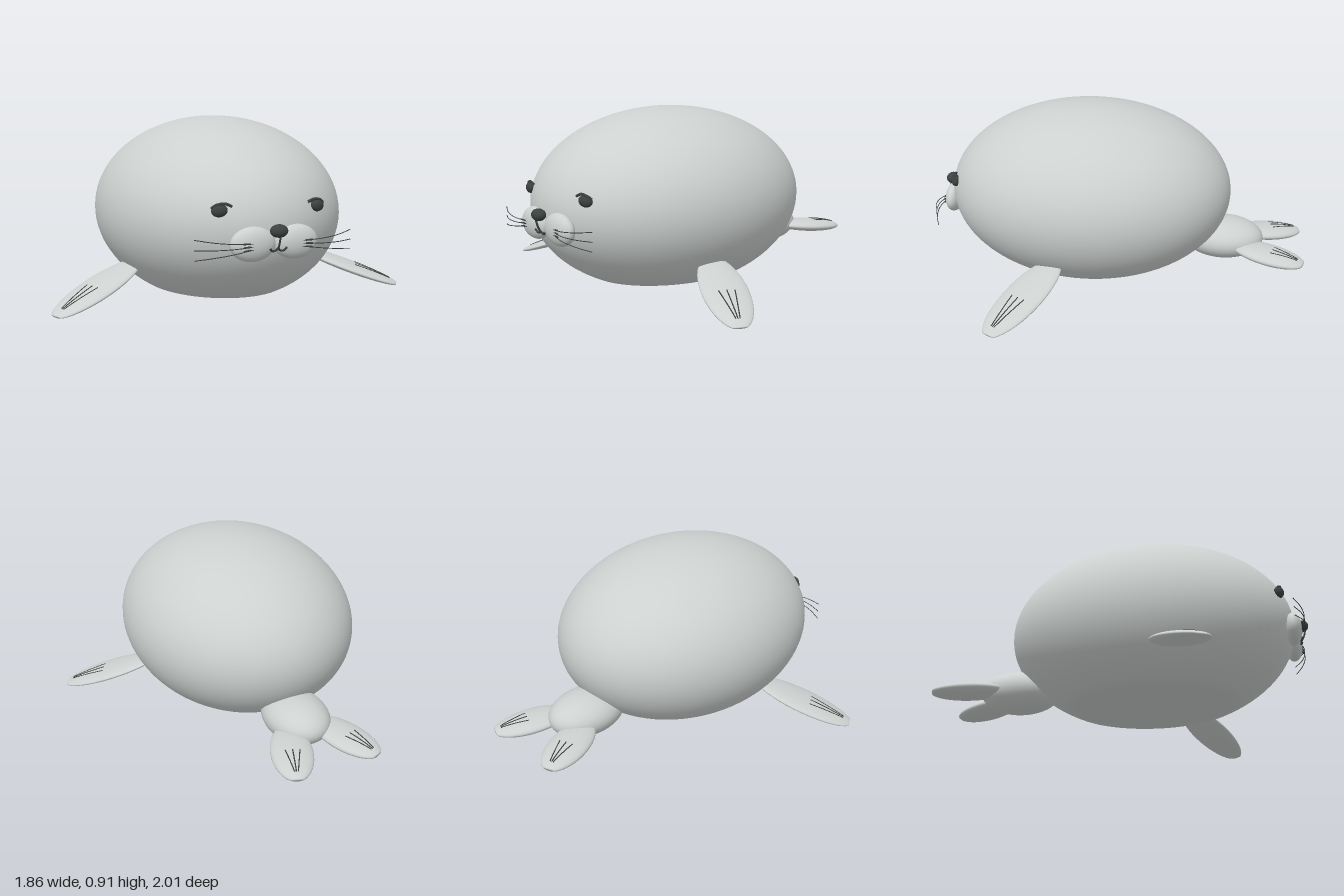
import * as THREE from 'three';
import { mergeVertices } from 'three/addons/utils/BufferGeometryUtils.js';

const fur = new THREE.MeshStandardMaterial({ color: 0xccd1cf });
fur.name = 'pale grey fur';
const dark = new THREE.MeshStandardMaterial({ color: 0x3c4240 });
dark.name = 'charcoal';

const V = (x, y, z) => new THREE.Vector3(x, y, z);

function add(parent, name, geometry, material) {
  const mesh = new THREE.Mesh(geometry, material);
  mesh.name = name;
  parent.add(mesh);
  return mesh;
}

// Ellipsoid given by its centre and radii
function ellipsoid(parent, name, material, [x, y, z], [rx, ry, rz]) {
  const geo = new THREE.SphereGeometry(1, 40, 28).scale(rx, ry, rz);
  const mesh = add(parent, name, geo, material);
  mesh.position.set(x, y, z);
  return mesh;
}

// Thin tube through a few points
function line(parent, name, points, radius) {
  const curve = new THREE.CatmullRomCurve3(points);
  return add(parent, name, new THREE.TubeGeometry(curve, 20, radius, 6), dark);
}

// Egg-shaped body with a flattened belly
function bodyGeometry() {
  let geo = new THREE.SphereGeometry(1, 80, 60).scale(0.62, 0.48, 0.765).translate(0, 0.43, 0.165);
  const p = geo.attributes.position;
  for (let i = 0; i < p.count; i++) {
    const y = p.getY(i);
    if (y < 0.04) p.setY(i, 0.04 + (y - 0.04) * 0.33);
  }
  geo.deleteAttribute('uv');
  geo.deleteAttribute('normal');
  geo = mergeVertices(geo);
  geo.computeVertexNormals();
  return geo;
}

// Flat paddle with a blunt tip along local +x and three grooves on top
function flipper(parent, name, centre, axis, [length, thick, width]) {
  const group = new THREE.Group();
  group.name = name;
  const along = axis.clone().normalize();
  const across = V(0, 1, 0).cross(along).negate().normalize();
  const up = across.clone().cross(along);
  group.quaternion.setFromRotationMatrix(new THREE.Matrix4().makeBasis(along, up, across));
  group.position.copy(centre);

  const geo = new THREE.SphereGeometry(1, 40, 28);
  const p = geo.attributes.position;
  for (let i = 0; i < p.count; i++) p.setX(i, Math.min(p.getX(i), 0.95));
  geo.scale(length, thick, width);
  add(group, name + 'Paddle', geo, fur);

  for (const k of [-1, 0, 1]) {
    const pts = [];
    for (let i = 0; i <= 6; i++) {
      const u = 0.8 - 0.7 * i / 6;
      const w = k * (0.08 + 0.26 * i / 6);
      pts.push(V(u * length, Math.sqrt(1 - u * u - w * w) * thick, w * width));
    }
    line(group, name + 'Groove', pts, 0.003);
  }
  parent.add(group);
}

export function createModel() {
  const model = new THREE.Group();
  model.name = 'seal';

  add(model, 'body', bodyGeometry(), fur);
  ellipsoid(model, 'tail', fur, [0, 0.17, -0.57], [0.165, 0.11, 0.22]);
  ellipsoid(model, 'nose', dark, [0, 0.432, 0.967], [0.042, 0.03, 0.033]);
  line(model, 'mouthStem', [V(0, 0.42, 0.985), V(0, 0.38, 0.975), V(0, 0.352, 0.962)], 0.005);

  for (const s of [1, -1]) {
    const side = s > 0 ? 'left' : 'right';

    // Limbs
    flipper(model, side + 'FrontFlipper', V(s * 0.69, 0.1, 0.4), V(s * 0.83, -0.33, 0.444), [0.285, 0.026, 0.115]);
    flipper(model, side + 'HindFlipper', V(s * 0.152, 0.145, -0.815), V(s * 0.35, -0.08, -0.93), [0.203, 0.036, 0.105]);

    // Face
    ellipsoid(model, side + 'Cheek', fur, [s * 0.105, 0.37, 0.918], [0.11, 0.08, 0.047]);
    const eye = ellipsoid(model, side + 'Eye', dark, [s * 0.243, 0.52, 0.862], [0.037, 0.029, 0.024]);
    eye.rotation.set(0, s * 0.35, s * -0.15);
    line(model, side + 'EyeLid', [V(s * 0.278, 0.53, 0.85), V(s * 0.255, 0.547, 0.866),
      V(s * 0.22, 0.551, 0.872), V(s * 0.188, 0.538, 0.873)], 0.007);
    line(model, side + 'MouthCurve', [V(0, 0.354, 0.962), V(s * 0.012, 0.342, 0.956),
      V(s * 0.028, 0.341, 0.957), V(s * 0.042, 0.356, 0.963)], 0.005);

    // Whiskers fanning out from the cheek
    for (const k of [1, 0, -1]) {
      line(model, side + 'Whisker', [V(s * 0.12, 0.367 + k * 0.013, 0.962), V(s * 0.21, 0.365 + k * 0.022, 0.976),
        V(s * 0.3, 0.363 + k * 0.033, 0.962), V(s * 0.385, 0.362 + k * 0.046, 0.925)], 0.002);
      line(model, side + 'WhiskerRoot', [V(s * 0.135, 0.367 + k * 0.014, 0.962),
        V(s * 0.17, 0.366 + k * 0.017, 0.966)], 0.004);
    }
  }
  return model;
}
